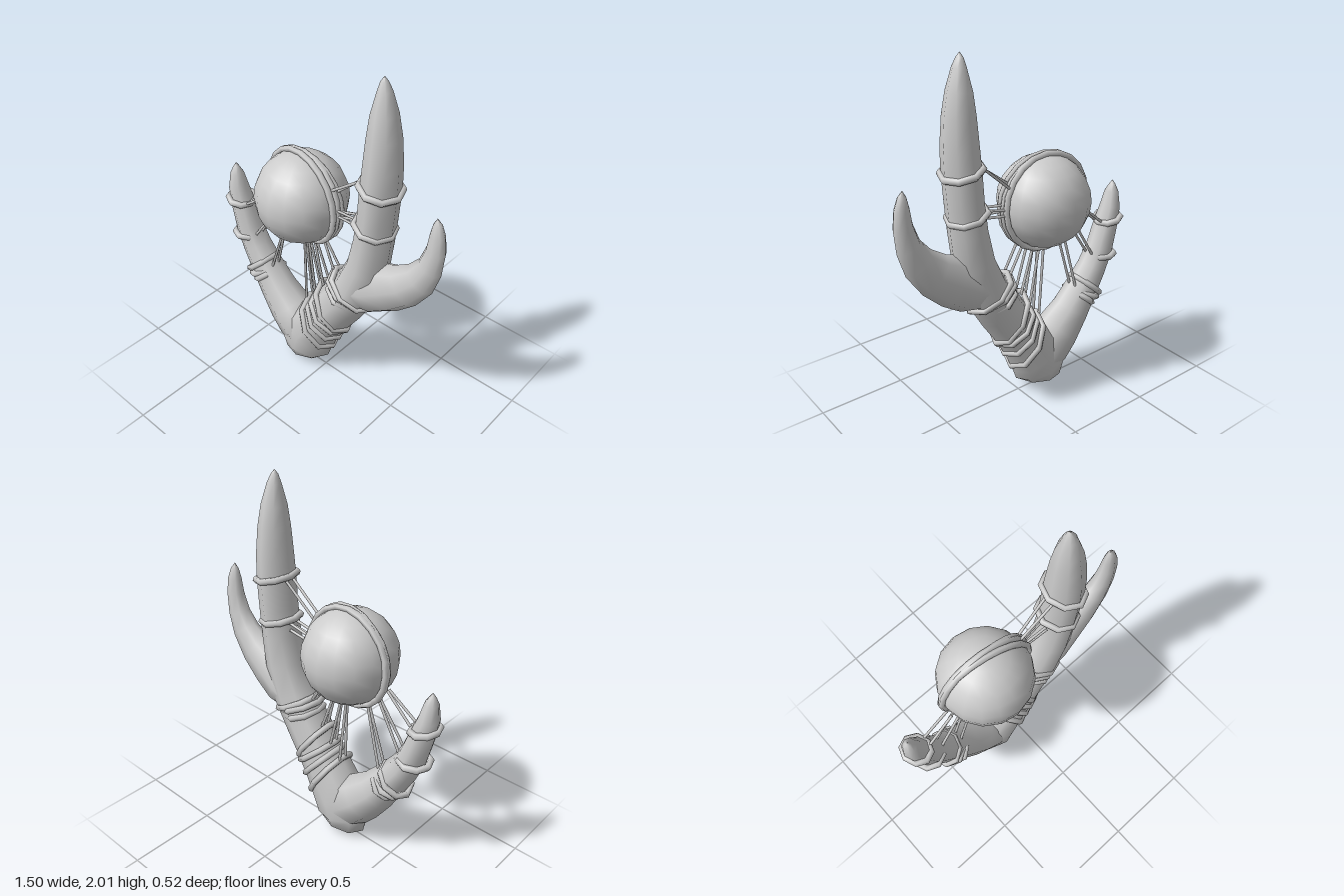
import * as THREE from 'three';

const material = new THREE.MeshStandardMaterial({ color: 0xcccccc, side: THREE.DoubleSide });

function addMesh(group, name, geometry) {
  const mesh = new THREE.Mesh(geometry, material);
  mesh.name = name;
  group.add(mesh);
  return mesh;
}

// Smooth horn from stations [x, y, half width, half depth] along a path in the xy plane
function horn(stations, sides = 8) {
  const positions = [], index = [];
  stations.forEach(([x, y, w, d], i) => {
    const p = stations[Math.max(i - 1, 0)], n = stations[Math.min(i + 1, stations.length - 1)];
    const length = Math.hypot(n[0] - p[0], n[1] - p[1]);
    const tx = (n[0] - p[0]) / length, ty = (n[1] - p[1]) / length;
    for (let j = 0; j < sides; j++) {
      const a = (j / sides) * Math.PI * 2, u = Math.cos(a) * w;
      positions.push(x + ty * u, y - tx * u, Math.sin(a) * d);
      if (i === 0) continue;
      const k = (j + 1) % sides, lo = (i - 1) * sides, hi = i * sides;
      index.push(lo + j, hi + j, lo + k, lo + k, hi + j, hi + k);
    }
  });
  const geometry = new THREE.BufferGeometry();
  geometry.setAttribute('position', new THREE.Float32BufferAttribute(positions, 3));
  geometry.setIndex(index);
  geometry.computeVertexNormals();
  return geometry;
}

// Eight-sided binding whose outer ends in the xy plane are (ax, ay) and (bx, by)
function binding([ax, ay, bx, by, depth]) {
  const tube = 0.019, radius = Math.hypot(bx - ax, by - ay) / 2 - tube;
  const geometry = new THREE.TorusGeometry(radius, tube, 6, 8);
  geometry.rotateX(Math.PI / 2);
  geometry.scale(1, 1, (depth - tube) / radius);
  geometry.rotateZ(Math.atan2(by - ay, bx - ax));
  geometry.translate((ax + bx) / 2, (ay + by) / 2, 0);
  return geometry;
}

// Thin cord between two points
function cord(a, b) {
  return new THREE.TubeGeometry(new THREE.LineCurve3(a, b), 1, 0.008, 5);
}

export function createModel() {
  const group = new THREE.Group();

  // Forked horn body
  addMesh(group, 'mainHorn', horn([
    [-0.14, 0.005, 0, 0], [-0.14, 0.01, 0.08, 0.06], [-0.15, 0.04, 0.145, 0.11],
    [-0.15, 0.1, 0.168, 0.13], [-0.12, 0.2, 0.172, 0.135], [-0.03, 0.34, 0.145, 0.13],
    [0.05, 0.46, 0.135, 0.125], [0.13, 0.58, 0.135, 0.12], [0.23, 0.74, 0.13, 0.118],
    [0.295, 0.92, 0.115, 0.115], [0.325, 1.1, 0.102, 0.113], [0.34, 1.25, 0.098, 0.113],
    [0.351, 1.42, 0.098, 0.113], [0.356, 1.55, 0.094, 0.105], [0.355, 1.7, 0.083, 0.09],
    [0.35, 1.82, 0.066, 0.07], [0.345, 1.93, 0.036, 0.038], [0.34, 1.975, 0.018, 0.02],
    [0.34, 2, 0, 0],
  ]));
  addMesh(group, 'shortHorn', horn([
    [-0.12, 0.08, 0.1, 0.1], [-0.2, 0.2, 0.155, 0.13], [-0.29, 0.28, 0.14, 0.125],
    [-0.39, 0.385, 0.115, 0.108], [-0.485, 0.515, 0.096, 0.095], [-0.555, 0.62, 0.085, 0.086],
    [-0.61, 0.73, 0.077, 0.08], [-0.655, 0.88, 0.068, 0.072], [-0.683, 0.98, 0.056, 0.06],
    [-0.69, 1.07, 0.038, 0.04], [-0.693, 1.11, 0.017, 0.018], [-0.693, 1.135, 0, 0],
  ]));
  addMesh(group, 'sideHorn', horn([
    [0.2, 0.72, 0.1, 0.1], [0.31, 0.78, 0.15, 0.11], [0.42, 0.845, 0.145, 0.095],
    [0.53, 0.915, 0.118, 0.08], [0.62, 1.01, 0.092, 0.065], [0.67, 1.11, 0.069, 0.053],
    [0.692, 1.22, 0.054, 0.043], [0.692, 1.31, 0.042, 0.034], [0.687, 1.37, 0.024, 0.02],
    [0.683, 1.405, 0, 0],
  ]));

  // Bindings wrapped around the horns
  const bindings = [
    [0.23, 1.455, 0.47, 1.395, 0.135], [0.205, 1.215, 0.445, 1.155, 0.13],
    [0.06, 0.79, 0.34, 0.62, 0.135], [0.04, 0.76, 0.31, 0.63, 0.135], [0.04, 0.7, 0.27, 0.605, 0.13],
    [-0.04, 0.65, 0.165, 0.35, 0.14], [-0.08, 0.55, 0.155, 0.34, 0.145], [-0.1, 0.51, 0.11, 0.26, 0.148],
    [-0.14, 0.48, 0.06, 0.155, 0.155],
    [-0.755, 0.925, -0.575, 0.89, 0.098], [-0.715, 0.69, -0.515, 0.7, 0.105],
    [-0.595, 0.44, -0.42, 0.6, 0.115], [-0.575, 0.43, -0.4, 0.53, 0.115], [-0.53, 0.4, -0.38, 0.53, 0.118],
  ];
  bindings.forEach((b, i) => addMesh(group, `binding${i + 1}`, binding(b)));

  // Orb held by slightly tilted hoops
  const centre = new THREE.Vector3(-0.175, 1.14, 0);
  addMesh(group, 'orb', new THREE.SphereGeometry(0.258, 16, 12)).position.copy(centre);
  [[-0.16, 0.02, 0], [-0.09, -0.03, -0.012], [-0.02, 0.03, -0.024]].forEach(([ry, rx, z], i) => {
    const hoop = addMesh(group, `hoop${i + 1}`, new THREE.TorusGeometry(0.267, 0.017, 6, 20));
    hoop.position.set(centre.x, centre.y, z);
    hoop.rotation.set(rx, ry, 0);
  });

  // Paired cords: angle on the hoop in degrees, then the end on the horn
  const cords = [
    [30, 0.25, 1.43], [5, 0.23, 1.19], [-2, 0.23, 1.15], [202, -0.6, 0.9], [222, -0.54, 0.7],
    [242, -0.41, 0.53], [274, -0.13, 0.45], [281, -0.06, 0.53], [291, 0.0, 0.63], [308, 0.09, 0.75],
  ];
  for (const [degrees, x, y] of cords) {
    for (const s of [-1, 1]) {
      const a = THREE.MathUtils.degToRad(degrees + s * 2);
      const start = new THREE.Vector3(Math.cos(a), Math.sin(a), 0).multiplyScalar(0.27).add(centre);
      start.z = s * 0.015;
      addMesh(group, 'cord', cord(start, new THREE.Vector3(x, y, s * 0.025)));
    }
  }
  return group;
}
